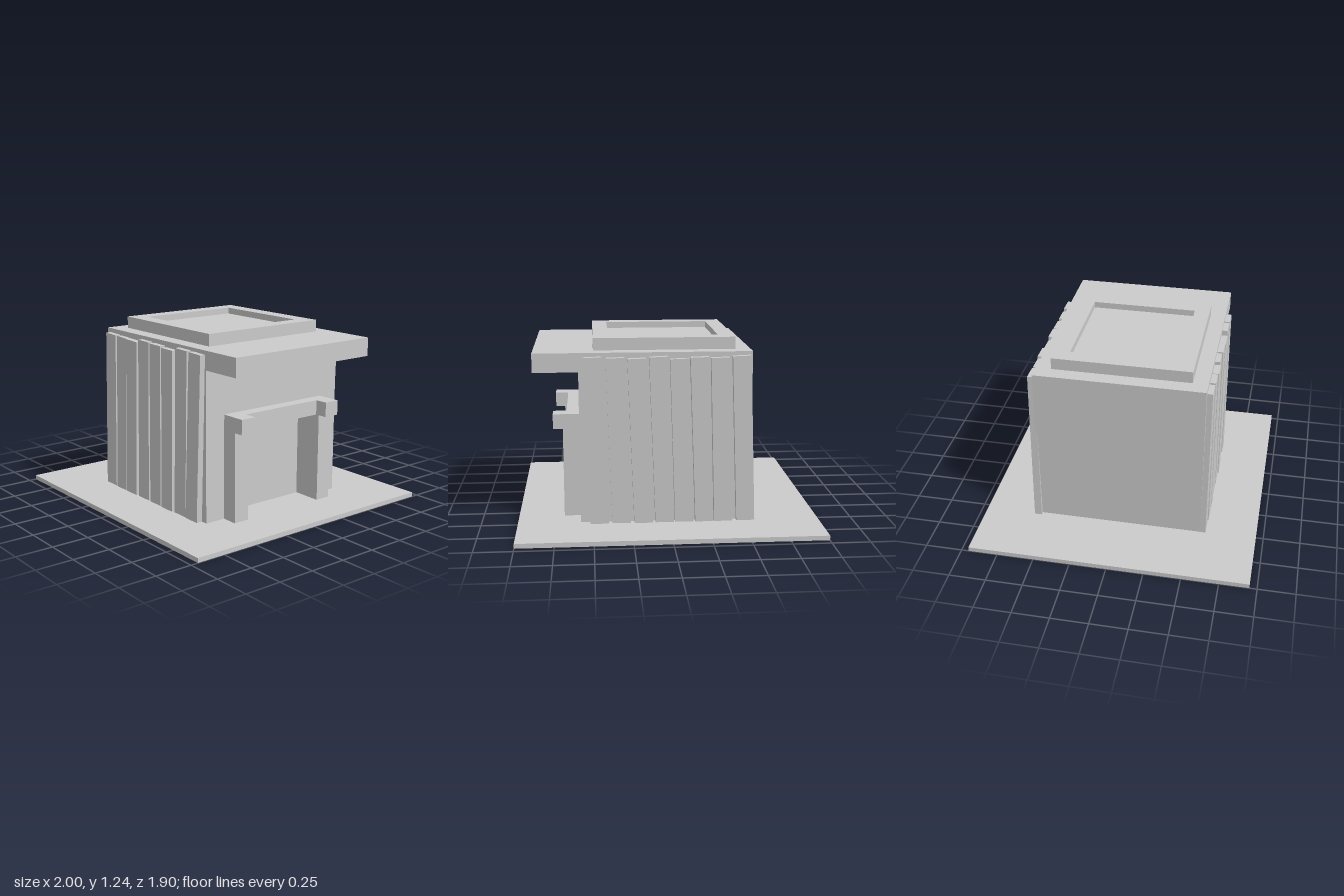
import * as THREE from 'three';

const material = new THREE.MeshStandardMaterial({ color: 0xcccccc, flatShading: true });

function add(parent, name, geometry) {
  const mesh = new THREE.Mesh(geometry, material);
  mesh.name = name;
  parent.add(mesh);
  return mesh;
}

// Box given by its limits on each axis
function block(parent, name, [x0, x1], [y0, y1], [z0, z1]) {
  const mesh = add(parent, name, new THREE.BoxGeometry(x1 - x0, y1 - y0, z1 - z0));
  mesh.position.set((x0 + x1) / 2, (y0 + y1) / 2, (z0 + z1) / 2);
  return mesh;
}

function rectangle(Type, x0, x1, y0, y1) {
  return new Type([[x0, y0], [x1, y0], [x1, y1], [x0, y1]].map(p => new THREE.Vector2(...p)));
}

// Row of slightly leaning planks: [bottom x, top x, top y]
function plankRow(parent, name, side, planks) {
  const row = new THREE.Group();
  row.name = name;
  planks.forEach(([xb, xt, top], i) => {
    const bottom = 0.008;
    const plank = add(row, 'plank', new THREE.BoxGeometry(0.121, top - bottom, 0.05));
    plank.position.set((xb + xt) / 2, (top + bottom) / 2, side * (0.582 + 0.003 * (i % 3 - 1)));
    plank.rotation.z = -Math.atan2(xt - xb, top - bottom);
    plank.rotation.x = side * -0.004 * (i % 2);
  });
  parent.add(row);
}

export function createModel() {
  const model = new THREE.Group();
  model.name = 'hut';
  const floor = 0.037, depth = 0.567;

  block(model, 'ground', [-1, 1], [0.006, floor], [-0.95, 0.95]);

  // Walls: solid core plus a door wall with a doorway cut into it
  block(model, 'core', [-0.545, 0.49], [floor, 1.045], [-depth, depth]);
  const wall = new THREE.Shape([
    [-depth, floor], [-0.31, floor], [-0.31, 0.64], [0.31, 0.64],
    [0.31, floor], [depth, floor], [depth, 1.045], [-depth, 1.045],
  ].map(p => new THREE.Vector2(...p)));
  const doorWall = add(model, 'doorWall',
    new THREE.ExtrudeGeometry(wall, { depth: 0.095, bevelEnabled: false }));
  doorWall.rotation.y = Math.PI / 2;
  doorWall.position.x = 0.49;

  // Overhanging roof slab
  block(model, 'roof', [-0.545, 0.88], [1.045, 1.17], [-depth, depth]);

  // Raised roof frame with a sunken panel
  const frame = rectangle(THREE.Shape, -0.445, 0.488, -0.465, 0.465);
  frame.holes.push(rectangle(THREE.Path, -0.342, 0.385, -0.36, 0.36));
  const roofFrame = add(model, 'roofFrame',
    new THREE.ExtrudeGeometry(frame, { depth: 0.08, bevelEnabled: false }));
  roofFrame.rotation.x = -Math.PI / 2;
  roofFrame.position.y = 1.17;
  block(model, 'roofPanel', [-0.342, 0.385], [1.17, 1.207], [-0.36, 0.36]);

  // Door surround: posts with projecting brackets, joined by a lintel
  const surround = new THREE.Group();
  surround.name = 'doorSurround';
  for (const z of [[0.31, 0.42], [-0.42, -0.31]]) {
    block(surround, 'post', [0.585, 0.695], [floor, 0.74], z);
    block(surround, 'bracket', [0.695, 0.76], [0.64, 0.74], z);
  }
  block(surround, 'lintel', [0.585, 0.67], [0.64, 0.74], [-0.31, 0.31]);
  model.add(surround);

  plankRow(model, 'frontPlanks', 1, [
    [-0.487, -0.45, 1.14], [-0.35, -0.307, 1.135], [-0.22, -0.18, 1.13], [-0.072, -0.052, 1.145],
    [0.067, 0.09, 1.14], [0.207, 0.225, 1.13], [0.347, 0.375, 1.15], [0.477, 0.517, 1.145],
  ]);
  plankRow(model, 'backPlanks', -1, [
    [-0.51, -0.47, 1.145], [-0.36, -0.33, 1.135], [-0.235, -0.195, 1.14], [-0.1, -0.065, 1.13],
    [0.03, 0.07, 1.145], [0.17, 0.21, 1.135], [0.315, 0.35, 1.14], [0.46, 0.497, 1.145],
  ]);
  return model;
}
